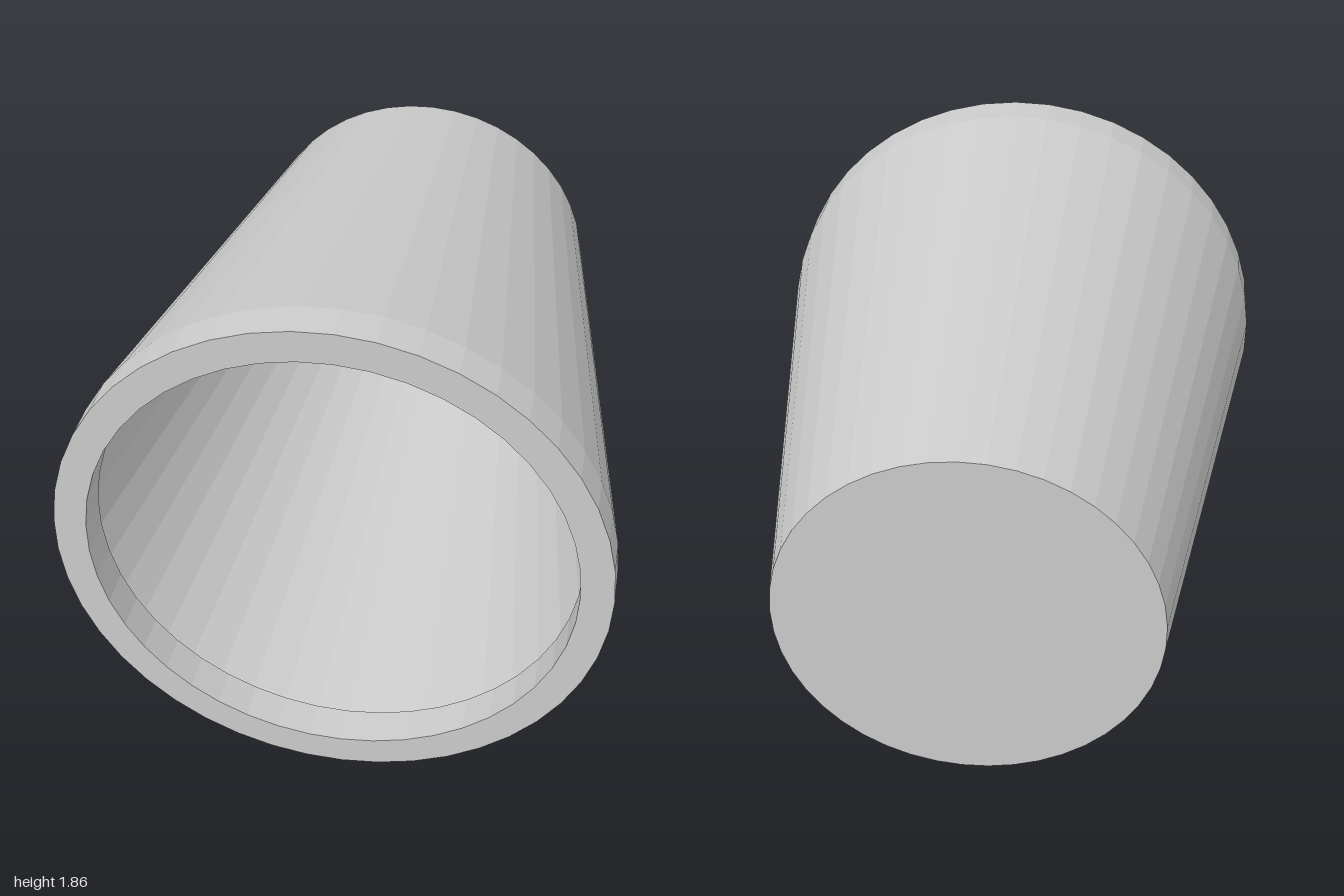
import * as THREE from 'three';

const RADIUS = 0.93; // mouth radius
const SIDES = 45;
const RIM_Z = 0.865; // depth where the thick rim meets the tapered wall

// Faceted turned part; profile points are [radius, z], lathed around the z axis
function turned(name, profile) {
  const geometry = new THREE.LatheGeometry(
    profile.map(([r, z]) => new THREE.Vector2(r, z)), SIDES, Math.PI / 2);
  geometry.rotateX(Math.PI / 2);
  const material = new THREE.MeshStandardMaterial({ color: 0xcccccc, flatShading: true });
  const mesh = new THREE.Mesh(geometry, material);
  mesh.name = name;
  mesh.position.y = RADIUS;
  return mesh;
}

export function createModel() {
  const group = new THREE.Group();
  group.name = 'taperedCup';

  // Closed back and tapered outside wall
  group.add(turned('outerWall', [[0, -1], [0.65, -1], [RADIUS, RIM_Z]]));

  // Thick straight rim with a ledge behind it
  group.add(turned('rim', [[RADIUS, RIM_Z], [RADIUS, 1], [0.82, 1], [0.82, RIM_Z], [0.92, RIM_Z]]));

  // Thin-walled hollow and its floor
  group.add(turned('innerWall', [[0.92, RIM_Z], [0.64, -0.99], [0, -0.99]]));

  return group;
}
